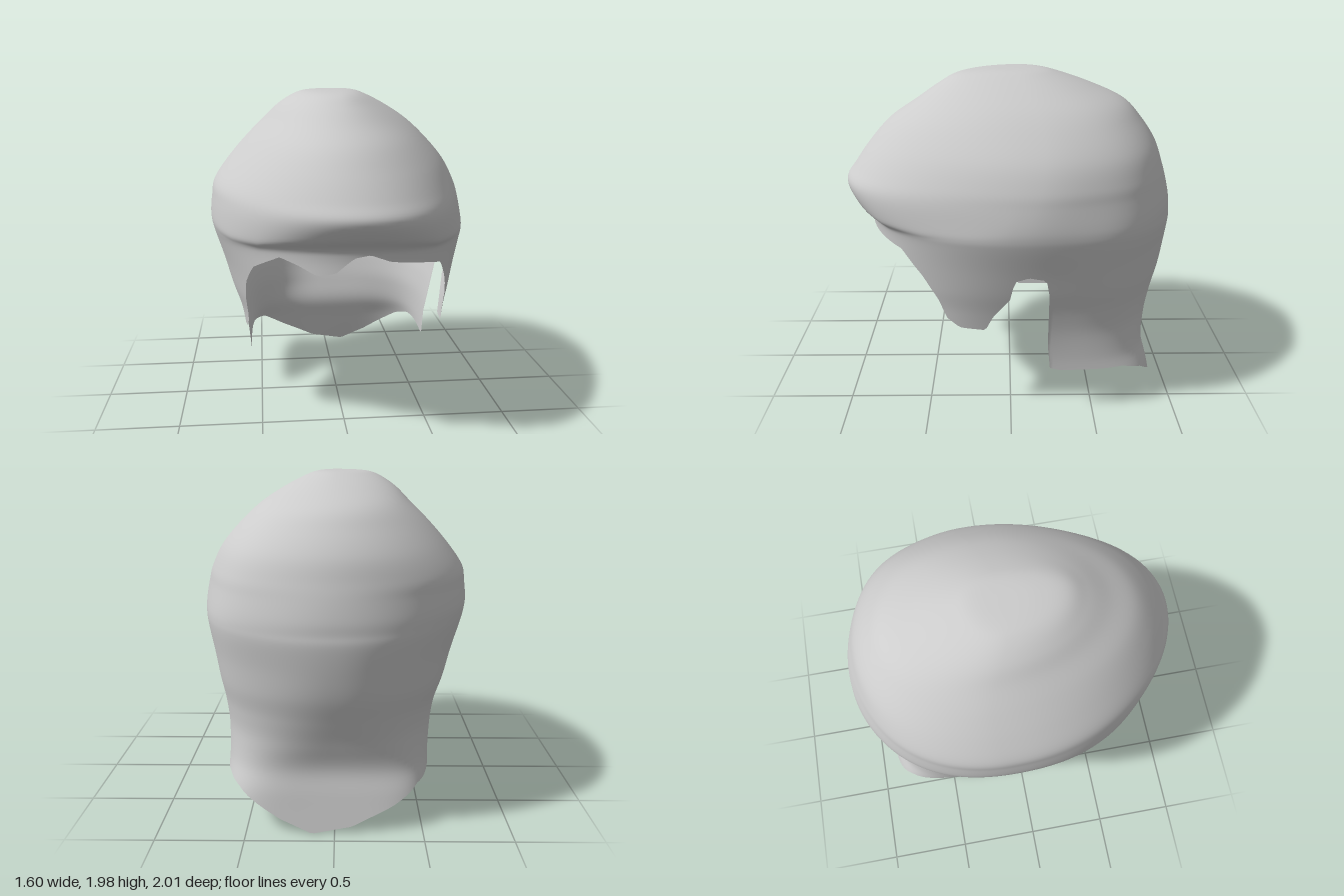
import * as THREE from 'three';
import { mergeVertices } from 'three/addons/utils/BufferGeometryUtils.js';

const Z0 = -0.05; // centre line of the lower shell

// Horizontal sections, crown to nape:
// y, front z, back z, +x reach, -x reach, squareness, z of the widest point
const SECTIONS = [
  [1.985, Z0, Z0, 0, 0, 2, Z0],
  [1.98, 0.15, -0.2, 0.1, 0.17, 2, Z0],
  [1.955, 0.32, -0.31, 0.18, 0.26, 2, -0.06],
  [1.89, 0.44, -0.5, 0.31, 0.36, 2, -0.1],
  [1.8, 0.57, -0.7, 0.45, 0.45, 2, -0.15],
  [1.69, 0.73, -0.81, 0.57, 0.56, 2, -0.18],
  [1.56, 0.85, -0.9, 0.68, 0.675, 2, -0.18],
  [1.43, 0.945, -0.945, 0.745, 0.77, 2, -0.16],
  [1.34, 1.0, -0.97, 0.77, 0.79, 2, -0.13],
  [1.24, 0.95, -0.99, 0.79, 0.8, 2.05, -0.09],
  [1.17, 0.875, -0.995, 0.795, 0.79, 2.1, -0.06],
  [1.1, 0.86, -1.0, 0.785, 0.77, 2.1, Z0],
  [0.95, 0.87, -0.985, 0.75, 0.72, 2.1, Z0],
  [0.8, 0.85, -0.96, 0.715, 0.675, 2.2, Z0],
  [0.65, 0.82, -0.915, 0.675, 0.62, 2.4, Z0],
  [0.5, 0.8, -0.87, 0.645, 0.59, 2.9, Z0],
  [0.35, 0.8, -0.84, 0.63, 0.57, 4, Z0],
  [0.2, 0.8, -0.87, 0.63, 0.56, 5.5, Z0],
  [0, 0.8, -0.915, 0.63, 0.56, 6, Z0],
];

// Lower edge as x, z, y: brow, sideburn, ear notch, nape, then the other side
const HEM = [
  [0, 0.87, 1.12], [0.08, 0.87, 1.135], [0.2, 0.84, 1.09], [0.4, 0.75, 1.06],
  [0.53, 0.63, 1.03], [0.59, 0.5, 0.88], [0.62, 0.43, 0.75], [0.62, 0.38, 0.62],
  [0.63, 0.3, 0.56], [0.65, 0.15, 0.55], [0.66, 0.1, 0.65], [0.7, 0, 0.78],
  [0.71, -0.02, 0.9], [0.72, -0.1, 0.93], [0.71, -0.19, 0.91], [0.7, -0.215, 0.86],
  [0.66, -0.235, 0.28], [0.63, -0.3, 0.265], [0.61, -0.68, 0.28], [0.55, -0.8, 0.24],
  [0.3, -0.88, 0.08], [0.13, -0.92, 0], [-0.1, -0.92, 0.04], [-0.33, -0.88, 0.15],
  [-0.48, -0.8, 0.25], [-0.54, -0.6, 0.28], [-0.57, -0.21, 0.28], [-0.66, -0.2, 0.83],
  [-0.68, -0.1, 0.88], [-0.68, -0.02, 0.87], [-0.66, 0, 0.78], [-0.61, 0.1, 0.65],
  [-0.6, 0.15, 0.55], [-0.59, 0.3, 0.56], [-0.58, 0.38, 0.62], [-0.58, 0.43, 0.75],
  [-0.57, 0.5, 0.9], [-0.53, 0.6, 1.02], [-0.4, 0.74, 1.11], [-0.3, 0.8, 1.07],
  [-0.2, 0.84, 1.02], [-0.1, 0.86, 1.035], [-0.03, 0.87, 1.1],
];

const TURN = Math.PI * 2;
const hemPoints = HEM.map(([x, z, y]) => [(Math.atan2(x, z - Z0) + TURN) % TURN, y]);
hemPoints.push([TURN, HEM[0][2]]);

function hemAt(angle) {
  let i = 1;
  while (i < hemPoints.length - 1 && hemPoints[i][0] < angle) i++;
  const [a, ya] = hemPoints[i - 1], [b, yb] = hemPoints[i];
  return THREE.MathUtils.lerp(ya, yb, THREE.MathUtils.clamp((angle - a) / (b - a), 0, 1));
}

// Smooth blend of one column of the section table
function section(s, k) {
  const last = SECTIONS.length - 1;
  const i = Math.min(Math.floor(s), last - 1), t = s - i;
  const at = n => SECTIONS[Math.min(Math.max(n, 0), last)][k];
  const p0 = at(i), p1 = at(i + 1);
  const m0 = (p1 - at(i - 1)) / 2, m1 = (at(i + 2) - p0) / 2;
  return (2 * t ** 3 - 3 * t * t + 1) * p0 + (t ** 3 - 2 * t * t + t) * m0
    + (3 * t * t - 2 * t ** 3) * p1 + (t ** 3 - t * t) * m1;
}

// Section position at which the shell reaches height y
function sectionAtHeight(y) {
  let lo = 0, hi = SECTIONS.length - 1;
  for (let n = 0; n < 30; n++) {
    const mid = (lo + hi) / 2;
    if (section(mid, 0) > y) lo = mid; else hi = mid;
  }
  return lo;
}

const bump = (v, centre, width) => Math.exp(-(((v - centre) / width) ** 2));

function shellPoint(angle, s) {
  let y = section(s, 0);
  const p = section(s, 5), centre = section(s, 6);
  const sin = Math.sin(angle), cos = Math.cos(angle);
  const a = Math.max(1e-6, cos > 0 ? section(s, 1) - centre : centre - section(s, 2));
  const b = Math.max(1e-6, section(s, sin > 0 ? 3 : 4));
  let r = (Math.abs(cos / a) ** p + Math.abs(sin / b) ** p) ** (-1 / p);
  // Soft locks, and the fuller rear corners
  r *= 1 + 0.006 * Math.sin(5 * angle + 5 * y) * bump(y, 1.35, 0.5);
  r *= 1 + 0.06 * bump(angle, 2.35, 0.35) * bump(y, 0.85, 0.75);
  r *= 1 + 0.035 * bump(angle, 3.93, 0.4) * bump(y, 0.8, 0.35);
  let x = r * sin, z = centre + r * cos;
  x += 0.06 * Math.max(0, z) ** 2 * bump(y, 1.35, 0.3);
  // Brow roll droops toward the temples
  if (z > 0) y -= 0.05 * Math.min(1, (x / 0.5) ** 2) * Math.min(1, z / 0.5) * bump(y, 1.24, 0.09);
  // Right nape flap sweeps forward under the ear
  if (x < 0 && z < 0 && y < 0.75) z += 0.15 * Math.min(1, (0.75 - y) / 0.42) * bump(z, -0.2, 0.22);
  return [x, y, z];
}

function shellGeometry(columns, rows) {
  const positions = [], index = [];
  const last = SECTIONS.length - 1;
  for (let i = 0; i < columns; i++) {
    const angle = i / columns * TURN;
    const end = sectionAtHeight(hemAt(angle));
    for (let j = 0; j <= rows; j++) positions.push(...shellPoint(angle, Math.min(j / rows * last, end)));
  }
  for (let i = 0; i < columns; i++) {
    for (let j = 0; j < rows; j++) {
      const a = i * (rows + 1) + j, b = ((i + 1) % columns) * (rows + 1) + j;
      index.push(a, a + 1, b, b, a + 1, b + 1);
    }
  }
  let geometry = new THREE.BufferGeometry();
  geometry.setAttribute('position', new THREE.Float32BufferAttribute(positions, 3));
  geometry.setIndex(index);
  geometry = mergeVertices(geometry, 1e-5);
  // Drop the collapsed faces below the hem and at the crown
  const kept = [], ids = geometry.index.array;
  for (let i = 0; i < ids.length; i += 3) {
    const [a, b, c] = [ids[i], ids[i + 1], ids[i + 2]];
    if (a !== b && b !== c && a !== c) kept.push(a, b, c);
  }
  geometry.setIndex(kept);
  geometry.computeVertexNormals();
  return geometry;
}

export function createModel() {
  const group = new THREE.Group();
  group.name = 'hairpiece';
  const hair = new THREE.MeshStandardMaterial({ color: 0xcccccc, side: THREE.DoubleSide });
  hair.name = 'light grey';
  const shell = new THREE.Mesh(shellGeometry(240, 108), hair);
  shell.name = 'hairShell';
  group.add(shell);
  return group;
}
